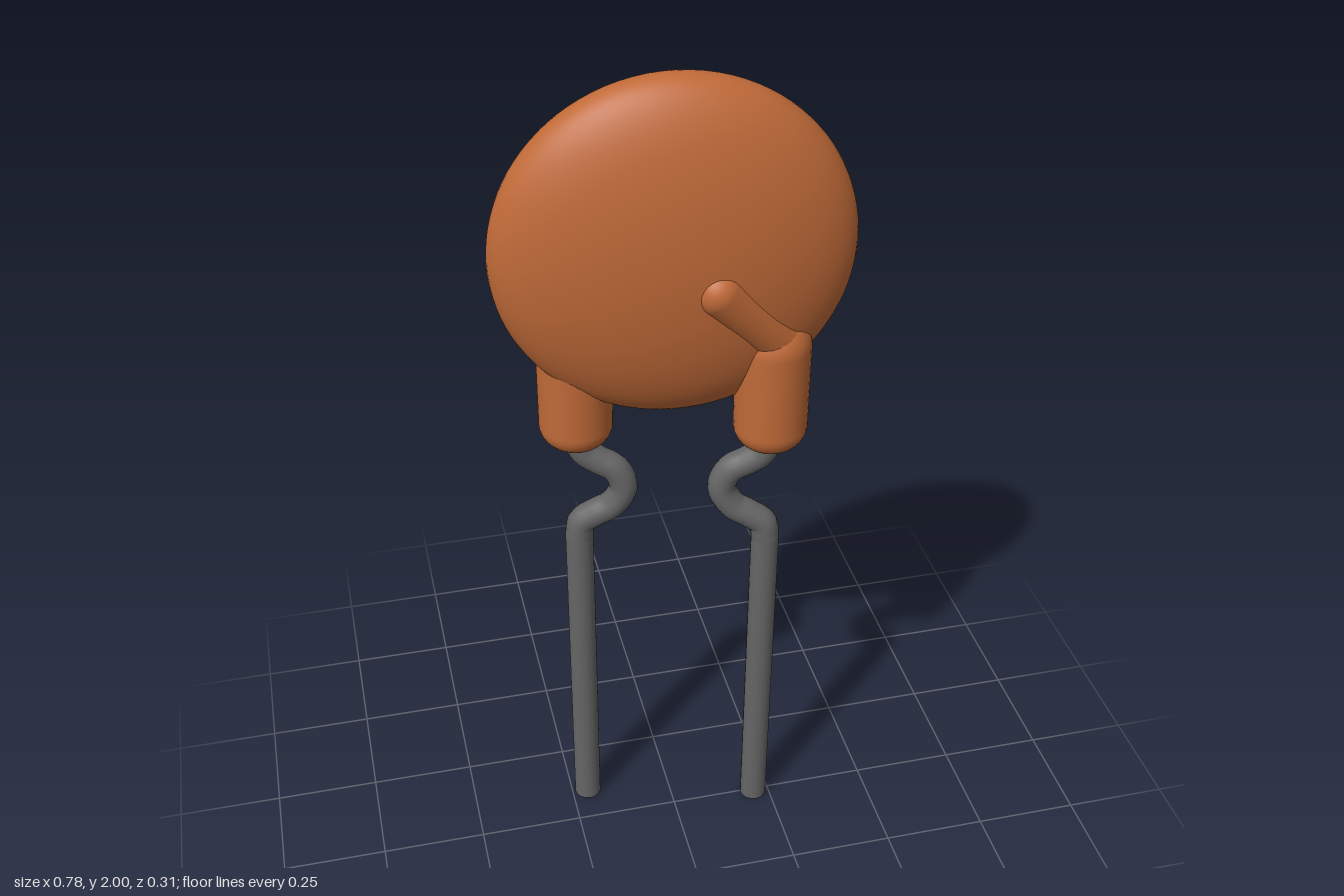
import * as THREE from 'three';

const coating = new THREE.MeshStandardMaterial({ color: 0xc06a38 });
const wire = new THREE.MeshStandardMaterial({ color: 0x666666 });
const v = (x, y, z) => new THREE.Vector3(x, y, z);

function add(parent, name, geometry, material) {
  const mesh = new THREE.Mesh(geometry, material);
  mesh.name = name;
  parent.add(mesh);
  return mesh;
}

// Wire: straight leg, inward kink, short top; along = 1 at the leg, less toward the middle
function leadGeometry() {
  const at = (along, y) => v(0.21 * along, y, 0.05 * along);
  const path = new THREE.CurvePath();
  path.add(new THREE.LineCurve3(at(1, 0.001), at(1, 0.86)));
  const kink = [[1, 0.86], [0.97, 0.895], [0.82, 0.92], [0.64, 0.945], [0.52, 0.995],
    [0.6, 1.045], [0.78, 1.07], [0.93, 1.095], [1, 1.14], [1, 1.2]];
  path.add(new THREE.CatmullRomCurve3(kink.map(([a, y]) => at(a, y))));
  return new THREE.TubeGeometry(path, 120, 0.033, 16);
}

// Sleeve: softly rounded bottom, vertical wall, domed top
function sleeveGeometry() {
  const r = 0.083, b = 0.055, profile = [new THREE.Vector2(0, 1.12)];
  for (let i = 0; i <= 8; i++) {
    const a = (i / 8) * Math.PI / 2;
    profile.push(new THREE.Vector2(r - b + b * Math.sin(a), 1.12 + b * (1 - Math.cos(a))));
  }
  for (let i = 0; i <= 10; i++) {
    const a = (i / 10) * Math.PI / 2;
    profile.push(new THREE.Vector2(Math.max(0, r * Math.cos(a)), 1.38 + r * Math.sin(a)));
  }
  return new THREE.LatheGeometry(profile, 32);
}

// One lead with its coated sleeve and the ridge running over the disc face
function createSide() {
  const side = new THREE.Group();
  add(side, 'lead', leadGeometry(), wire);

  const cap = add(side, 'leadEnd', new THREE.CircleGeometry(0.033, 16), wire);
  cap.rotation.x = Math.PI / 2;
  cap.position.set(0.21, 0.001, 0.05);

  add(side, 'sleeve', sleeveGeometry(), coating).position.set(0.21, 0, 0.05);

  const from = v(0.21, 1.41, 0.068), to = v(0.07, 1.56, 0.102);
  const dir = to.clone().sub(from);
  const ridge = add(side, 'ridge', new THREE.CapsuleGeometry(0.054, dir.length(), 10, 24), coating);
  ridge.position.copy(from).add(to).multiplyScalar(0.5);
  ridge.quaternion.setFromUnitVectors(v(0, 1, 0), dir.normalize());
  return side;
}

export function createModel() {
  const model = new THREE.Group();
  model.name = 'discCapacitor';

  // Everything leans slightly forward
  const body = new THREE.Group();
  body.name = 'body';
  body.position.z = -0.045;
  body.rotation.x = 0.028;
  model.add(body);

  // Lens-shaped disc
  const disc = add(body, 'disc', new THREE.SphereGeometry(1, 64, 48), coating);
  disc.scale.set(0.39, 0.39, 0.132);
  disc.position.y = 1.61;
  disc.rotation.y = -0.072;

  // The second side is the first turned half way round
  ['leftSide', 'rightSide'].forEach((name, i) => {
    const side = createSide();
    side.name = name;
    side.rotation.y = i * Math.PI;
    body.add(side);
  });
  return model;
}
